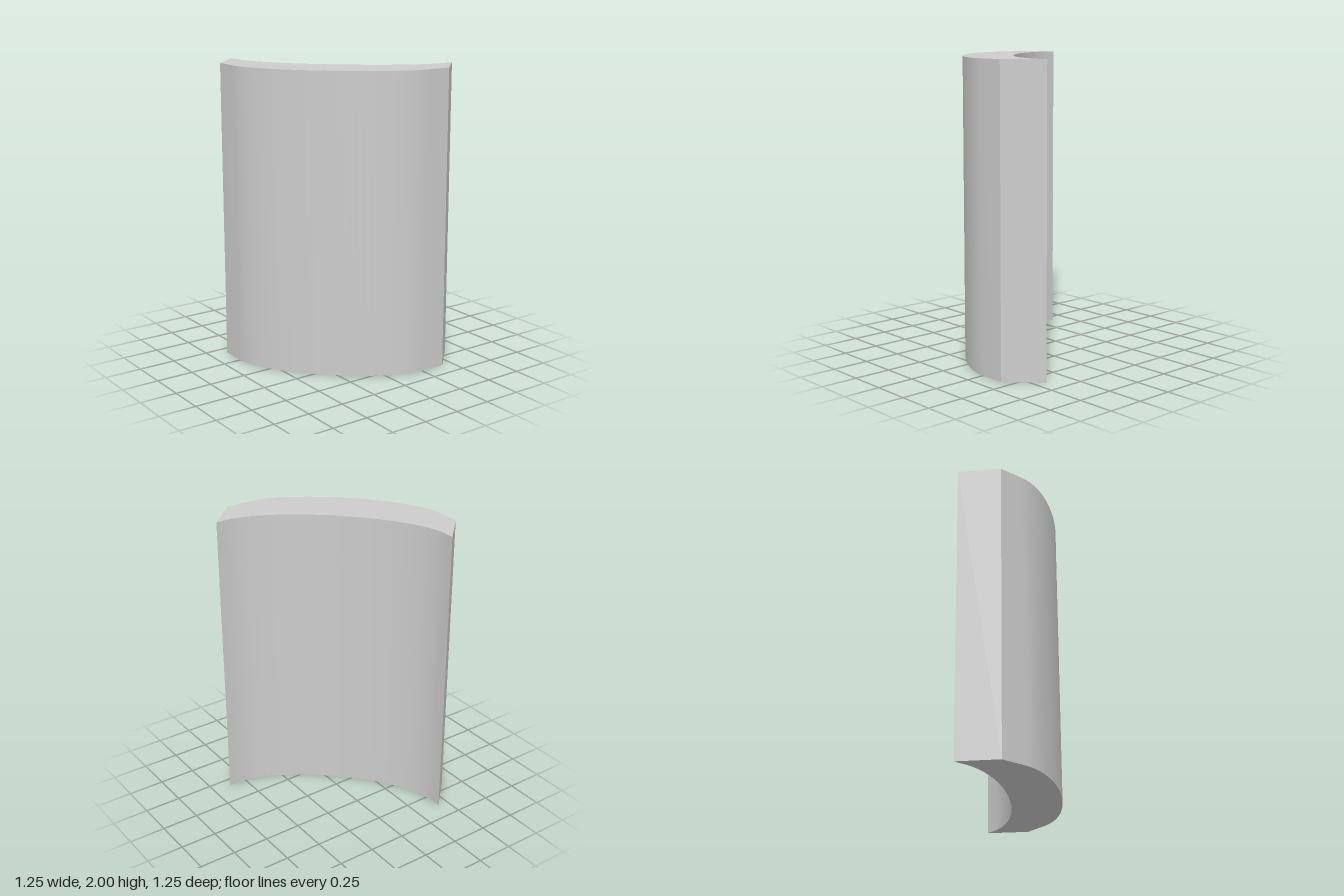
import * as THREE from 'three';
import { toCreasedNormals } from 'three/addons/utils/BufferGeometryUtils.js';

const HEIGHT = 2;

export function createModel() {
  const group = new THREE.Group();
  group.name = 'curvedPanel';

  // Plan outline, symmetric about the diagonal; shape y is -z
  const plan = new THREE.Shape();
  // outer (convex) side with short straight ends
  plan.moveTo(-0.425, -0.625);
  plan.lineTo(-0.25, -0.625);
  plan.bezierCurveTo(0.063, -0.625, 0.625, -0.063, 0.625, 0.25);
  plan.lineTo(0.625, 0.425);
  // bevelled end, then inner (concave) side
  plan.lineTo(0.425, 0.625);
  plan.lineTo(0.425, 0.55);
  plan.bezierCurveTo(0.425, 0.197, -0.197, -0.425, -0.55, -0.425);
  plan.lineTo(-0.625, -0.425);
  plan.closePath();

  // Extrude upward and smooth the curved sides, keeping edges sharp
  const extruded = new THREE.ExtrudeGeometry(plan, {
    depth: HEIGHT, bevelEnabled: false, curveSegments: 32,
  });
  extruded.rotateX(-Math.PI / 2);
  const geometry = toCreasedNormals(extruded, THREE.MathUtils.degToRad(25));

  const panel = new THREE.Mesh(geometry, new THREE.MeshStandardMaterial({ color: 0xcccccc }));
  panel.name = 'panel';
  group.add(panel);
  return group;
}
